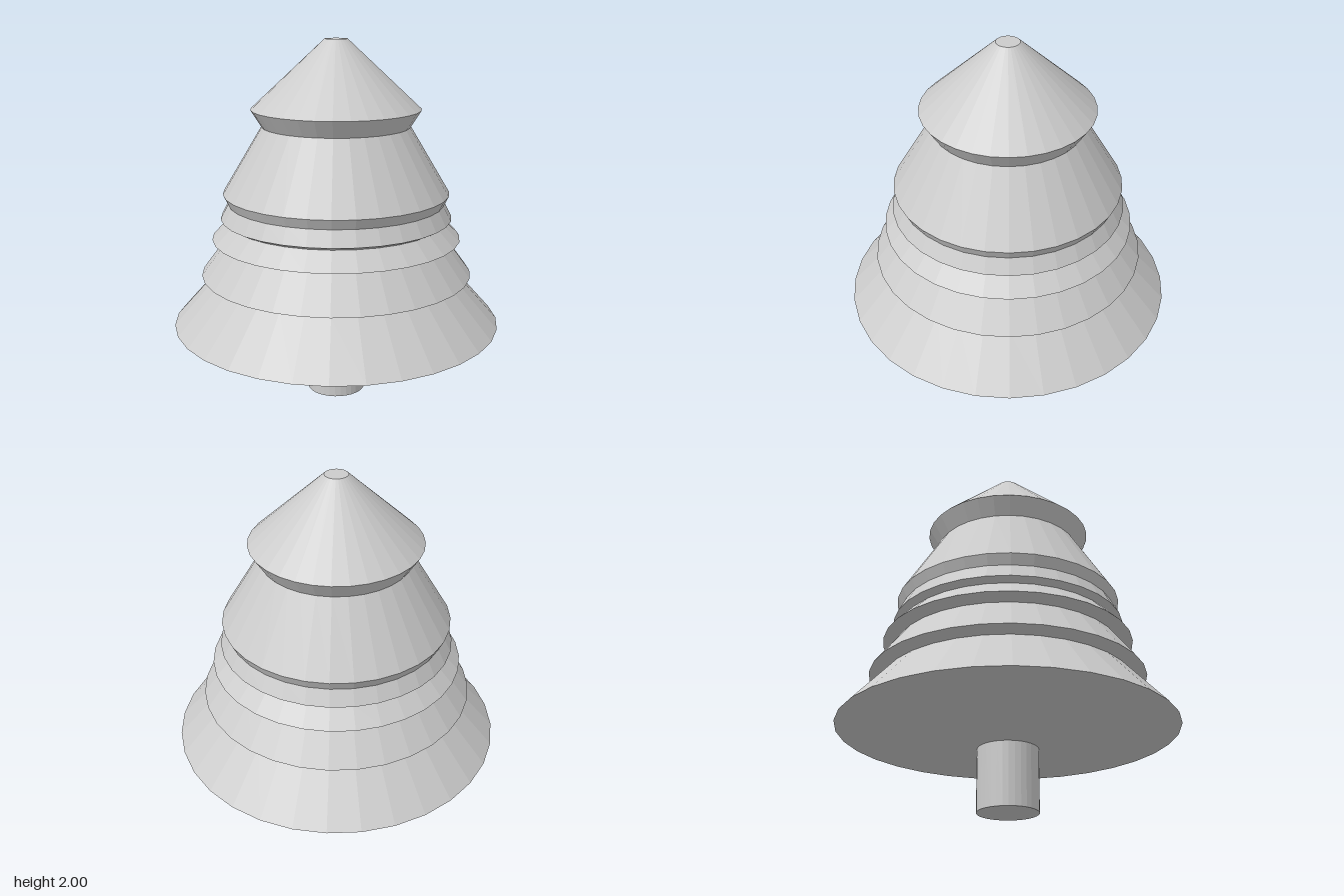
import * as THREE from 'three';

const SIDES = 32;

export function createModel() {
  const group = new THREE.Group();
  const material = new THREE.MeshStandardMaterial({ color: 0xcccccc, flatShading: true });

  const addLathe = (name, profile) => {
    const points = profile.map(([r, y]) => new THREE.Vector2(r, y));
    const mesh = new THREE.Mesh(new THREE.LatheGeometry(points, SIDES), material);
    mesh.name = name;
    group.add(mesh);
  };

  // Plain trunk, closed at the base and meeting the underside of the foliage
  addLathe('trunk', [[0, 0], [0.164, 0], [0.164, 0.337]]);

  // Stacked skirts of foliage, from the wide bottom rim to the blunt tip
  addLathe('foliage', [
    [0.164, 0.337],
    [0.915, 0.432], [0.683, 0.692], // bottom skirt
    [0.754, 0.716], [0.62, 0.896],
    [0.69, 0.92], [0.6, 1.013],
    [0.64, 1.034], [0.598, 1.117],
    [0.624, 1.172], [0.405, 1.536], // tall middle skirt
    [0.463, 1.629], [0.062, 2],     // top cone
    [0, 2],
  ]);

  return group;
}
